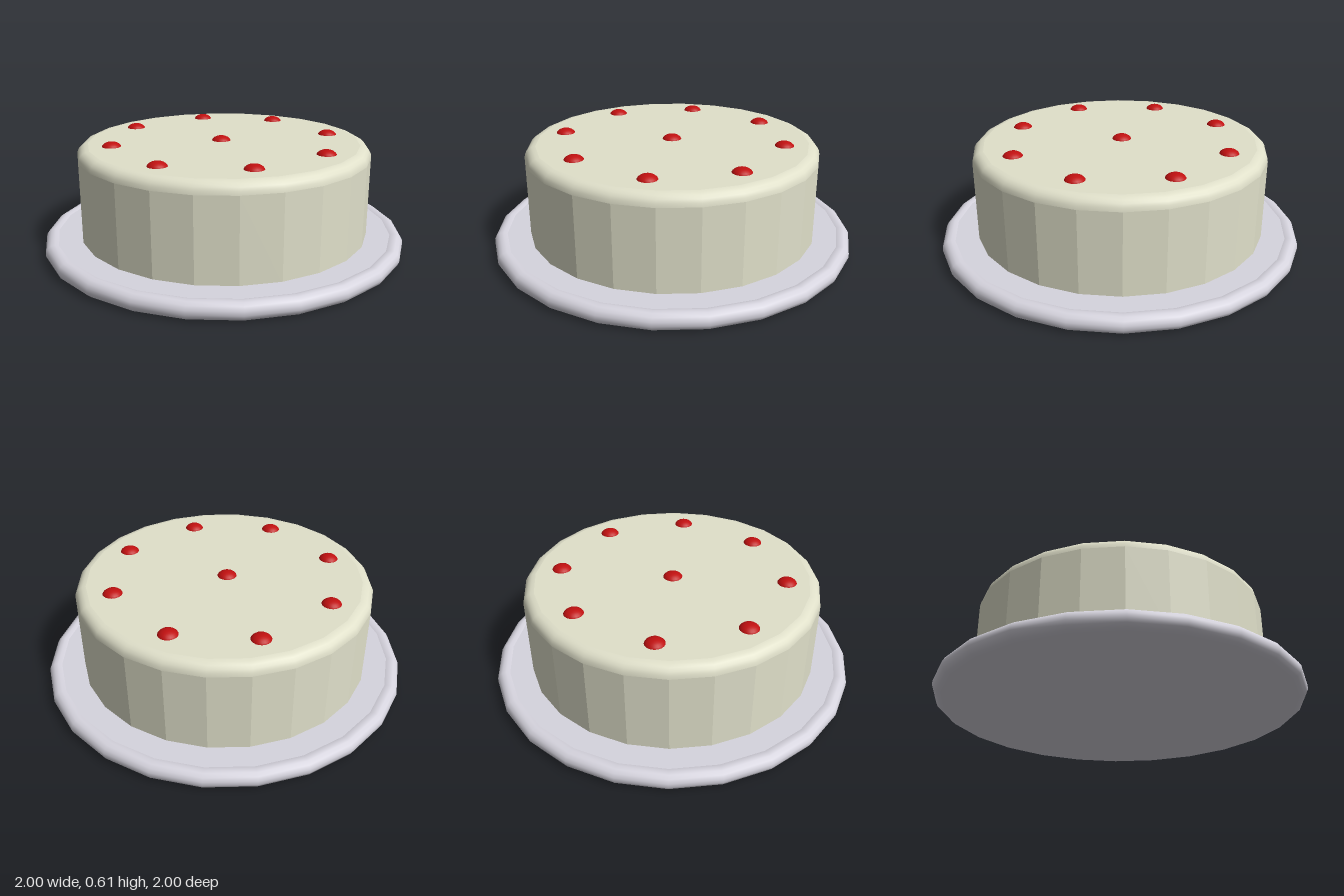
import * as THREE from 'three';

const SIDES = 24;
const cream = new THREE.MeshStandardMaterial({ color: 0xe0e0ca });
cream.name = 'cream icing';
const china = new THREE.MeshStandardMaterial({ color: 0xd6d4de });
china.name = 'pale china';
const red = new THREE.MeshStandardMaterial({ color: 0xc01010 });
red.name = 'cherry red';

// Surface of revolution; profile runs from bottom to top, facing outward
function turned(name, profile, material, faceted = false) {
  let geometry = new THREE.LatheGeometry(profile.map(([r, y]) => new THREE.Vector2(r, y)), SIDES);
  if (faceted) {
    geometry = geometry.toNonIndexed();
    geometry.computeVertexNormals();
  }
  const mesh = new THREE.Mesh(geometry, material);
  mesh.name = name;
  return mesh;
}

// Points along a circular arc, angles in degrees
function arc(r, y, radius, from, to, steps) {
  return Array.from({ length: steps + 1 }, (_, i) => {
    const a = THREE.MathUtils.degToRad(from + ((to - from) * i) / steps);
    return [r + radius * Math.cos(a), y + radius * Math.sin(a)];
  });
}

export function createModel() {
  const model = new THREE.Group();
  model.name = 'cakeOnPlate';

  // Plate: flat base, rounded rim, floor slightly below the top of the rim
  const plate = new THREE.Group();
  plate.name = 'plate';
  const rim = arc(0.953, 0.047, 0.047, -90, 122, 8);
  const [floorRadius, floorY] = rim[rim.length - 1];
  plate.add(
    turned('plateBase', [[0, 0], [0.953, 0]], china),
    turned('plateRim', rim, china),
    turned('plateFloor', [[floorRadius, floorY], [0, floorY]], china),
  );

  // Cake: faceted side, softly rounded shoulder, flat top
  const cake = new THREE.Group();
  cake.name = 'cake';
  const shoulder = arc(0.74, 0.525, 0.06, 0, 90, 5);
  cake.add(
    turned('cakeSide', [[0.8, floorY - 0.01], [0.8, 0.525]], cream, true),
    turned('cakeShoulder', shoulder, cream),
    turned('cakeTop', [[0.74, 0.585], [0, 0.585]], cream),
  );

  // Cherries: a ring of eight and one in the middle, half sunk into the icing
  const spots = [
    [-0.01, -0.01], [-0.243, -0.562], [0.233, -0.562], [0.552, -0.255], [0.567, 0.221],
    [0.25, 0.553], [-0.215, 0.555], [-0.563, 0.248], [-0.57, -0.227],
  ];
  const cherries = new THREE.Group();
  cherries.name = 'cherries';
  const cherryGeometry = new THREE.SphereGeometry(0.054, 20, 12);
  for (const [x, z] of spots) {
    const cherry = new THREE.Mesh(cherryGeometry, red);
    cherry.name = 'cherry';
    cherry.scale.y = 0.65;
    cherry.position.set(x, 0.575, z);
    cherries.add(cherry);
  }

  model.add(plate, cake, cherries);
  return model;
}
